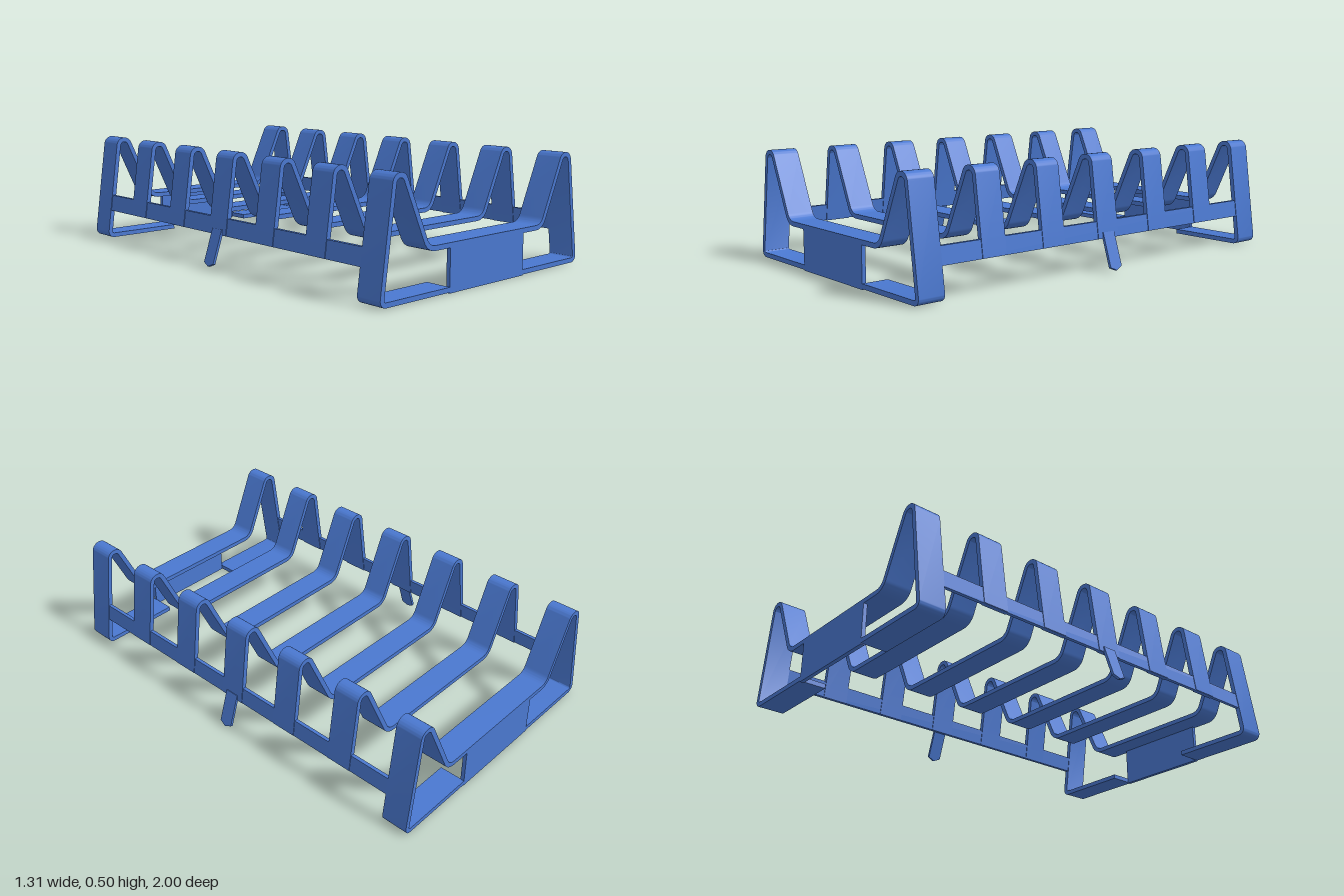
import * as THREE from 'three';
import { toCreasedNormals } from 'three/addons/utils/BufferGeometryUtils.js';

const BAND = 0.021;   // strip thickness
const WIDTH = 0.12;   // strip width along z
const material = new THREE.MeshStandardMaterial({ color: 0x4a78d0 });

// Leg centre line leans outward towards the floor
const legX = (y) => 0.548 + (0.455 - y) * 0.14;

function makeMesh(geometry, name) {
  const mesh = new THREE.Mesh(toCreasedNormals(geometry, 0.6), material);
  mesh.name = name;
  return mesh;
}

function extrude(shape, depth) {
  return new THREE.ExtrudeGeometry(shape, { depth, bevelEnabled: false }).translate(0, 0, -depth / 2);
}

// Polyline of [x, y, radius] corners with every radius turned into an arc
function filletPath(corners, steps = 10) {
  const pts = corners.map(([x, y]) => new THREE.Vector2(x, y));
  const out = [];
  pts.forEach((p, i) => {
    const r = corners[i][2];
    if (!r) return out.push(p);
    const a = pts[i - 1].clone().sub(p).normalize();
    const b = pts[i + 1].clone().sub(p).normalize();
    const half = Math.acos(a.dot(b)) / 2;
    const start = p.clone().addScaledVector(a, r / Math.tan(half));
    const centre = p.clone().addScaledVector(a.clone().add(b).normalize(), r / Math.sin(half));
    const spoke = start.sub(centre);
    const turn = Math.sign(b.cross(a)) * (Math.PI - 2 * half);
    for (let k = 0; k <= steps; k++) {
      out.push(spoke.clone().rotateAround(new THREE.Vector2(), turn * k / steps).add(centre));
    }
  });
  return out;
}

// Closed outline of constant thickness around a centre line
function stripShape(line, thickness) {
  const left = [], right = [];
  line.forEach((p, i) => {
    const before = p.clone().sub(line[Math.max(i - 1, 0)]).normalize();
    const after = line[Math.min(i + 1, line.length - 1)].clone().sub(p).normalize();
    const dir = before.clone().add(after).normalize();
    const reach = thickness / 2 / Math.max(dir.dot(after), dir.dot(before), 0.5);
    const normal = new THREE.Vector2(-dir.y, dir.x).multiplyScalar(reach);
    left.push(p.clone().add(normal));
    right.push(p.clone().sub(normal));
  });
  return new THREE.Shape([...left, ...right.reverse()]);
}

// Bent strip: tray, two humps and legs; end ribs also fold into feet
function ribGeometry(withFeet) {
  const half = [
    [0.358, 0.191, 0.06],
    [0.495, 0.487, 0.03],
    [legX(0.487), 0.487, 0.03],
  ];
  if (withFeet) half.push([legX(0.0145), 0.0145, 0.02], [0.23, 0.0145, 0]);
  else half.push([legX(0.14), 0.14, 0]);
  const mirrored = half.map(([x, y, r]) => [-x, y, r]).reverse();
  return extrude(stripShape(filletPath([...mirrored, ...half]), BAND), WIDTH);
}

// Lengthwise rail and the splayed prong at its middle, for the +x side
function createSide() {
  const side = new THREE.Group();
  const t = 0.008;
  const rail = new THREE.Shape([
    [legX(0.14) - t, 0.14], [legX(0.14) + t, 0.14],
    [legX(0.215) + t, 0.215], [legX(0.215) - t, 0.215],
  ].map(([x, y]) => new THREE.Vector2(x, y)));
  side.add(makeMesh(extrude(rail, 1.8), 'sideRail'));

  const prong = new THREE.Shape([
    [-0.033, 0], [-0.033, -0.153], [0, -0.168], [0.033, -0.153], [0.033, 0],
  ].map(([x, y]) => new THREE.Vector2(x, y)));
  const prongGeometry = extrude(prong, 0.012)
    .rotateY(Math.PI / 2).rotateZ(0.32).translate(0.597, 0.165, 0);
  side.add(makeMesh(prongGeometry, 'sideProng'));
  return side;
}

export function createModel() {
  const model = new THREE.Group();
  model.name = 'rack';

  // Inner ribs
  const innerRib = ribGeometry(false);
  for (let i = -2; i <= 2; i++) {
    const rib = makeMesh(innerRib, 'innerRib');
    rib.position.z = i * 0.3133;
    model.add(rib);
  }

  // End ribs with a thin plate on their outer face
  const endRib = ribGeometry(true);
  for (const [s, name] of [[1, 'front'], [-1, 'back']]) {
    const rib = makeMesh(endRib, name + 'Rib');
    rib.position.z = s * (1 - WIDTH / 2);
    const plate = makeMesh(new THREE.BoxGeometry(0.464, 0.2, 0.018), name + 'Plate');
    plate.position.set(0, 0.1, s * 0.991);
    model.add(rib, plate);
  }

  // Left and right sides
  const left = createSide();
  left.name = 'leftSide';
  const right = createSide();
  right.name = 'rightSide';
  right.rotation.y = Math.PI;
  model.add(left, right);
  return model;
}
